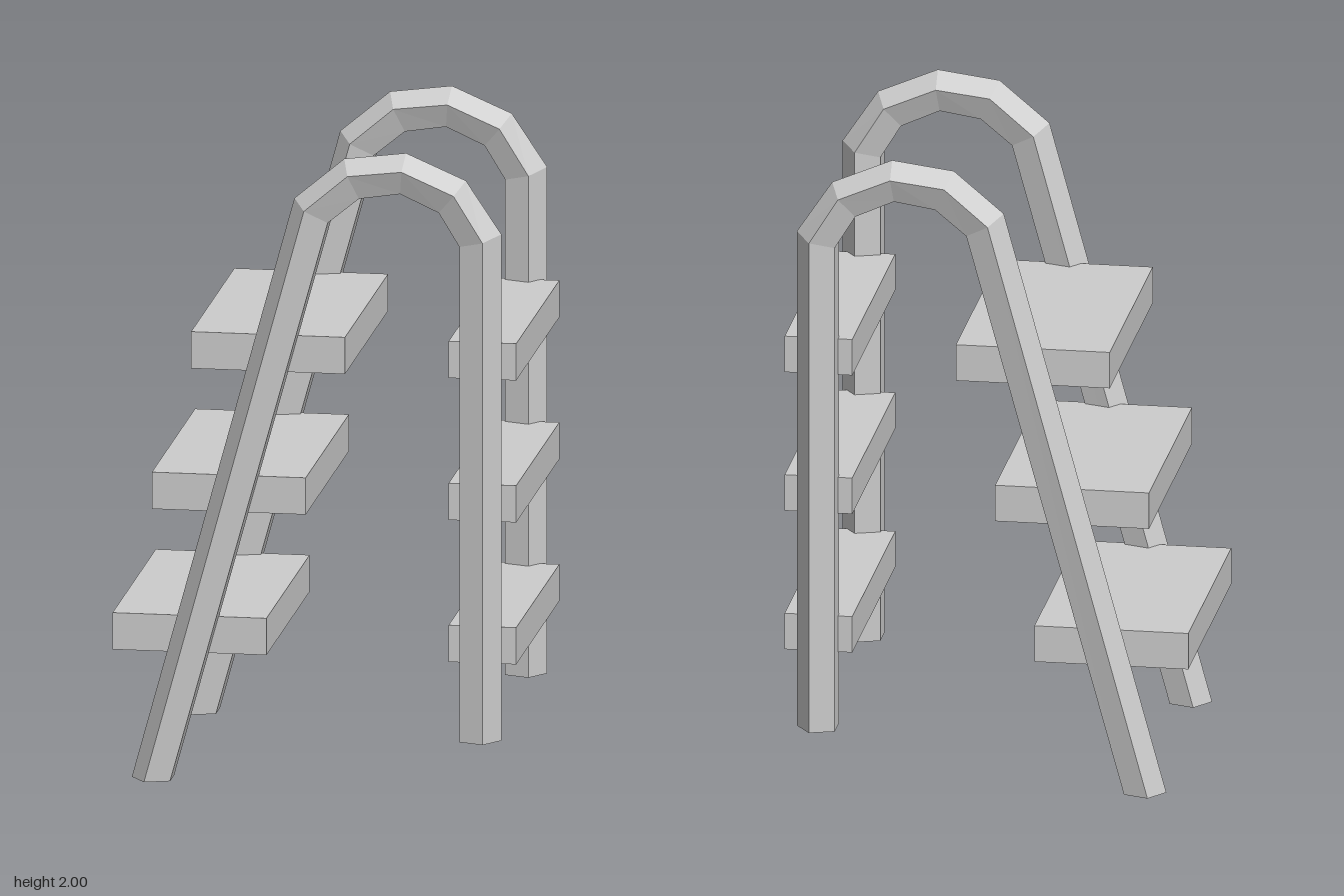
import * as THREE from 'three';

// Rail stations from the slanted foot, over the arch, down to the short leg.
// Each holds x,y of the outer ridge, the widest edges and the inner edges.
const RAIL = [
  [-0.565, 0, -0.517, 0, -0.44, 0],
  [-0.06, 1.845, -0.02, 1.82, 0.05, 1.78],
  [0.095, 1.975, 0.115, 1.935, 0.147, 1.86],
  [0.287, 2.0, 0.283, 1.955, 0.275, 1.88],
  [0.473, 1.92, 0.445, 1.885, 0.395, 1.825],
  [0.583, 1.755, 0.535, 1.74, 0.459, 1.72],
  [0.583, 0.157, 0.535, 0.157, 0.459, 0.157],
];

// Five-sided tube lofted through the stations, closed at both ends
function railGeometry() {
  const rings = RAIL.map(([ox, oy, mx, my, ix, iy]) => [
    [ox, oy, 0], [mx, my, 0.067], [ix, iy, 0.041], [ix, iy, -0.041], [mx, my, -0.067],
  ]);
  const pos = [];
  const tri = (a, b, c) => pos.push(...a, ...b, ...c);
  for (let i = 0; i < rings.length - 1; i++) {
    for (let j = 0; j < 5; j++) {
      const k = (j + 1) % 5;
      const a = rings[i][j], b = rings[i][k], c = rings[i + 1][k], d = rings[i + 1][j];
      tri(a, b, c);
      tri(a, c, d);
    }
  }
  const first = rings[0], last = rings[rings.length - 1];
  for (let k = 1; k < 4; k++) {
    tri(first[0], first[k + 1], first[k]);
    tri(last[0], last[k], last[k + 1]);
  }
  const geo = new THREE.BufferGeometry();
  geo.setAttribute('position', new THREE.Float32BufferAttribute(pos, 3));
  geo.computeVertexNormals();
  return geo;
}

export function createModel() {
  const group = new THREE.Group();
  group.name = 'stepLadder';
  const grey = new THREE.MeshStandardMaterial({ color: 0xcccccc });
  grey.name = 'light grey';

  const add = (name, geo, x, y, z) => {
    const mesh = new THREE.Mesh(geo, grey);
    mesh.name = name;
    mesh.position.set(x, y, z);
    group.add(mesh);
  };

  // Pair of arched handrails
  const rail = railGeometry();
  add('frontRail', rail, 0, 0, 0.447);
  add('backRail', rail, 0, 0, -0.447);

  // Wide treads on the slanted side, narrow rungs on the upright side
  const tread = new THREE.BoxGeometry(0.478, 0.116, 0.842);
  const rung = new THREE.BoxGeometry(0.21, 0.116, 0.842);
  for (let i = 0; i < 3; i++) {
    const y = 0.451 + i * 0.448;
    add(`tread${i + 1}`, tread, -0.39 + i * 0.122, y, 0);
    add(`rung${i + 1}`, rung, 0.52, y, 0);
  }
  return group;
}
